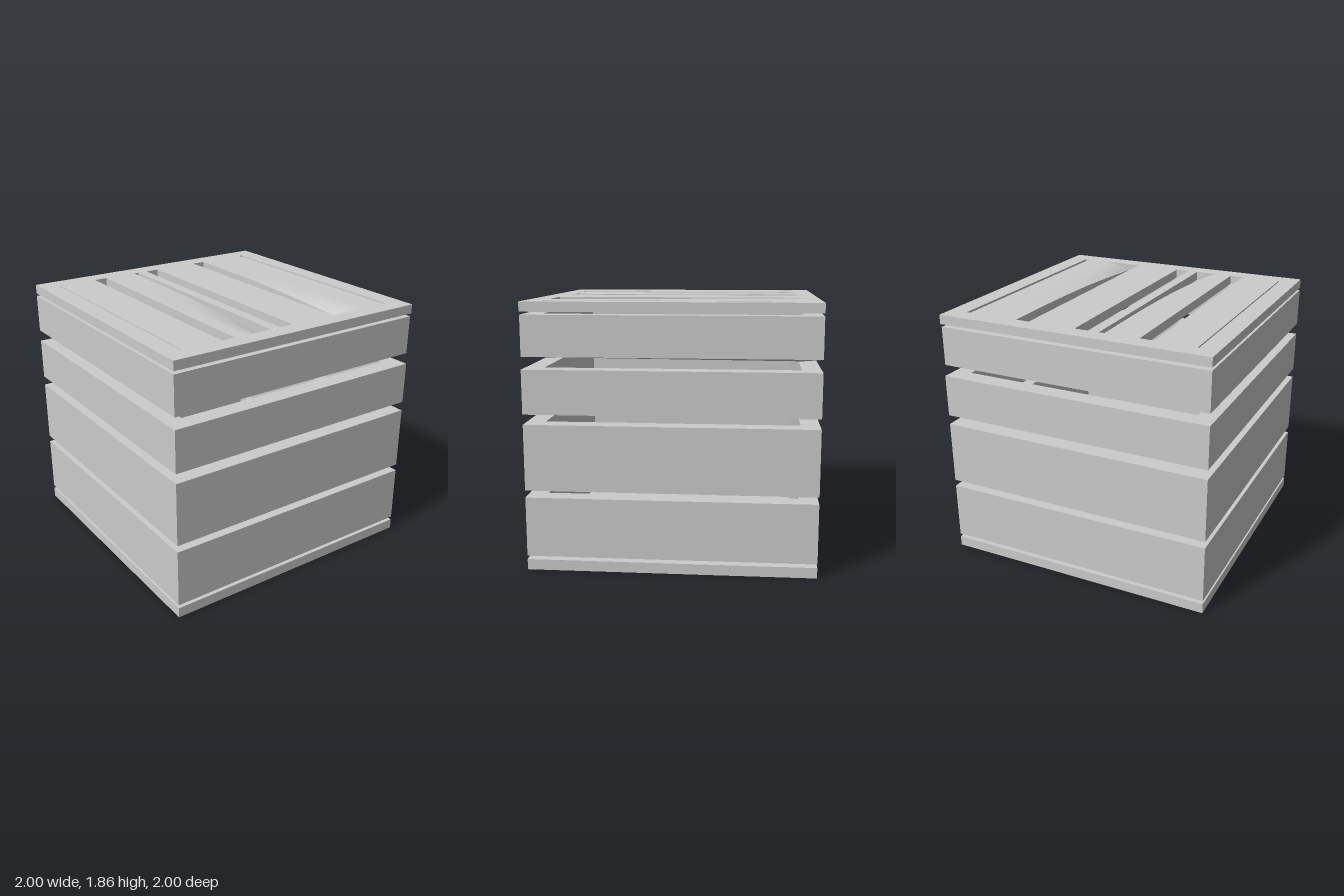
import * as THREE from 'three';

const OUT = 1, IN = 0.87;
const mat = new THREE.MeshStandardMaterial({ color: 0xcccccc, flatShading: true });

// Move every vertex of a geometry by a rule
function warp(geo, rule) {
  const p = geo.attributes.position, v = new THREE.Vector3();
  for (let i = 0; i < p.count; i++) {
    v.fromBufferAttribute(p, i);
    rule(v);
    p.setXYZ(i, v.x, v.y, v.z);
  }
  geo.computeVertexNormals();
  return geo;
}

// Square hollow frame between two heights
function frame(y0, y1) {
  const square = (T, r) => {
    const s = new T();
    s.moveTo(-r, -r);
    s.lineTo(r, -r);
    s.lineTo(r, r);
    s.lineTo(-r, r);
    s.closePath();
    return s;
  };
  const shape = square(THREE.Shape, OUT);
  shape.holes.push(square(THREE.Path, IN));
  const geo = new THREE.ExtrudeGeometry(shape, { depth: y1 - y0, bevelEnabled: false });
  return geo.rotateX(-Math.PI / 2).translate(0, y0, 0);
}

function slab(x0, x1, y0, y1, z, seg = 1) {
  const geo = new THREE.BoxGeometry(x1 - x0, y1 - y0, 2 * z, seg, 1, seg);
  return geo.translate((x0 + x1) / 2, (y0 + y1) / 2, 0);
}

export function createModel() {
  const model = new THREE.Group();
  const add = (name, geo, parent = model) => {
    const mesh = new THREE.Mesh(geo, mat);
    mesh.name = name;
    parent.add(mesh);
  };

  // Solid floor
  add('floor', slab(-OUT, OUT, 0, 0.075, OUT));

  // Side boards: four hollow courses with open gaps between them
  const courses = [[0.1, 0.52], [0.57, 1.03], [1.1, 1.405], [1.49, 1.77]];
  courses.forEach(([y0, y1], i) => {
    const top = i === 3;
    add('sideBoards' + (i + 1), warp(frame(y0, y1), v => {
      const inner = Math.abs(v.x) < 0.9, low = v.y < y0 + 0.01;
      // lower inner edge hangs slightly; the top course sags at one corner
      if (inner && low) v.y -= top && v.x > 0 && v.z < 0 ? 0.025 : 0.004;
      if (top && v.x > 0.95) v.x = 0.99;
    }));
  });

  // Lid: border frame with planks of uneven width
  const lid = new THREE.Group();
  lid.name = 'lid';
  model.add(lid);
  const y0 = 1.79, y1 = 1.857;
  add('lidBorder', frame(y0, y1), lid);

  // [left, right, side of the worn front corner (0 = none), dent width]
  const planks = [
    [-0.87, -0.865, 0],
    [-0.855, -0.56, 0],
    [-0.46, -0.21, 1, 0.17],
    [-0.17, -0.095, 0],
    [0.01, 0.36, 0],
    [0.46, 0.835, -1, 0.2],
    [0.865, 0.87, 0],
  ];
  planks.forEach(([a, b, side, w], i) => {
    const geo = slab(a, b, y0, y1, IN, side ? 10 : 1);
    if (side) warp(geo, v => {
      if (v.y < y1 - 0.01) return;
      const edge = side > 0 ? b : a;
      const u = Math.max(0, 1 - Math.abs(v.x - edge) / w);
      const t = Math.max(0, (v.z + 0.5) / (IN + 0.5));
      v.y -= 0.055 * u * u * t * t;
    });
    add('lidPlank' + (i + 1), geo, lid);
  });

  return model;
}
